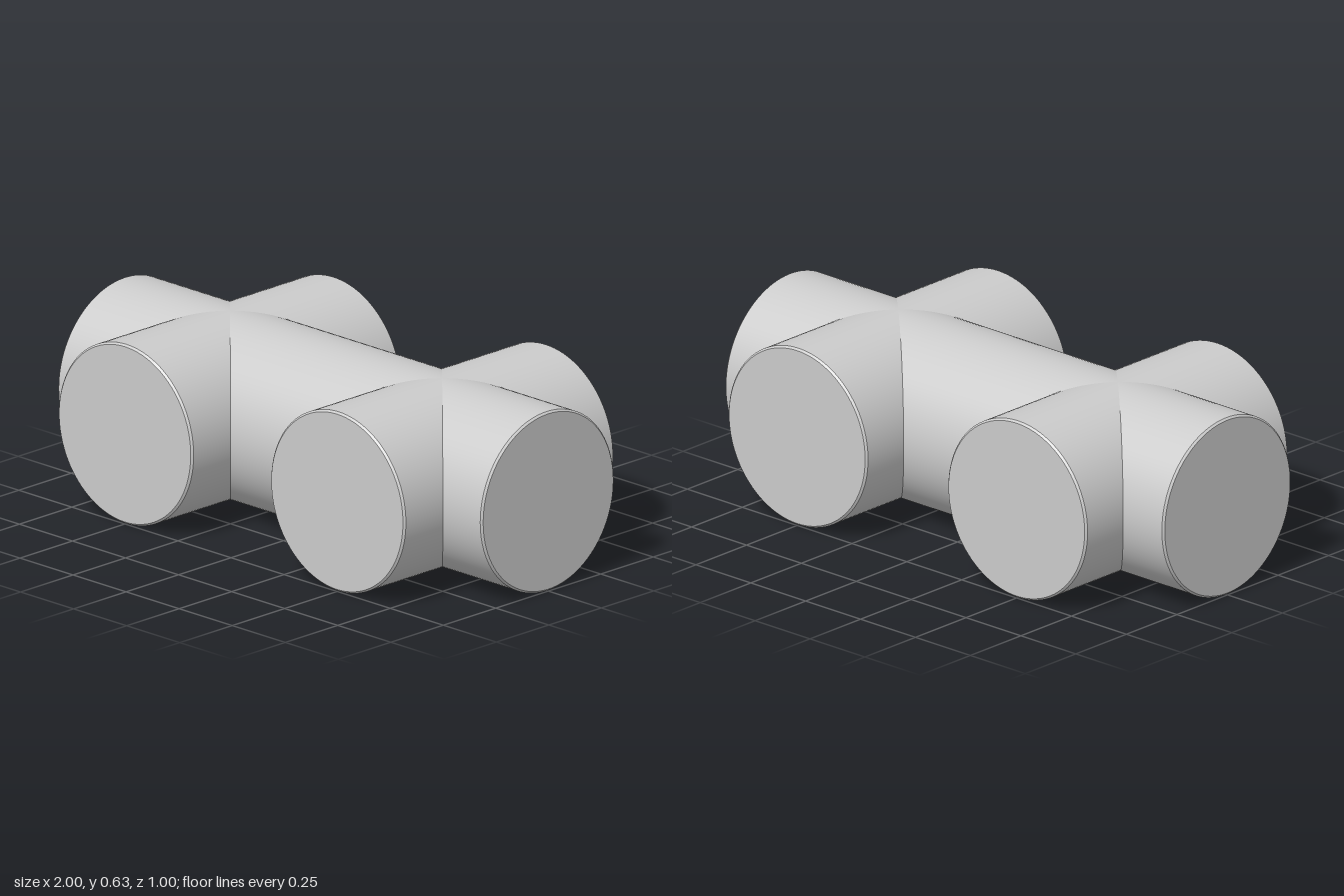
import * as THREE from 'three';
import { toCreasedNormals } from 'three/addons/utils/BufferGeometryUtils.js';

const RADIUS = 0.317;
const BEVEL = 0.007;
const SIDES = 96;

// Solid round bar along y with a fine bevel around each end
function barGeometry(length) {
  const h = length / 2;
  const profile = [
    [0, -h], [RADIUS - BEVEL, -h], [RADIUS, -h + BEVEL],
    [RADIUS, h - BEVEL], [RADIUS - BEVEL, h], [0, h],
  ].map(([x, y]) => new THREE.Vector2(x, y));
  return toCreasedNormals(new THREE.LatheGeometry(profile, SIDES), Math.PI / 6);
}

export function createModel() {
  const model = new THREE.Group();
  model.name = 'doubleCrossFitting';
  const material = new THREE.MeshStandardMaterial({ color: 0xcccccc });

  // Main bar running left to right
  const mainBar = new THREE.Mesh(barGeometry(2).rotateZ(Math.PI / 2), material);
  mainBar.name = 'mainBar';
  mainBar.position.y = RADIUS;
  model.add(mainBar);

  // Two cross bars running front to back
  const crossGeometry = barGeometry(1).rotateX(Math.PI / 2);
  for (const [name, x] of [['leftCrossBar', 0.5], ['rightCrossBar', -0.5]]) {
    const crossBar = new THREE.Mesh(crossGeometry, material);
    crossBar.name = name;
    crossBar.position.set(x, RADIUS, 0);
    model.add(crossBar);
  }

  return model;
}
